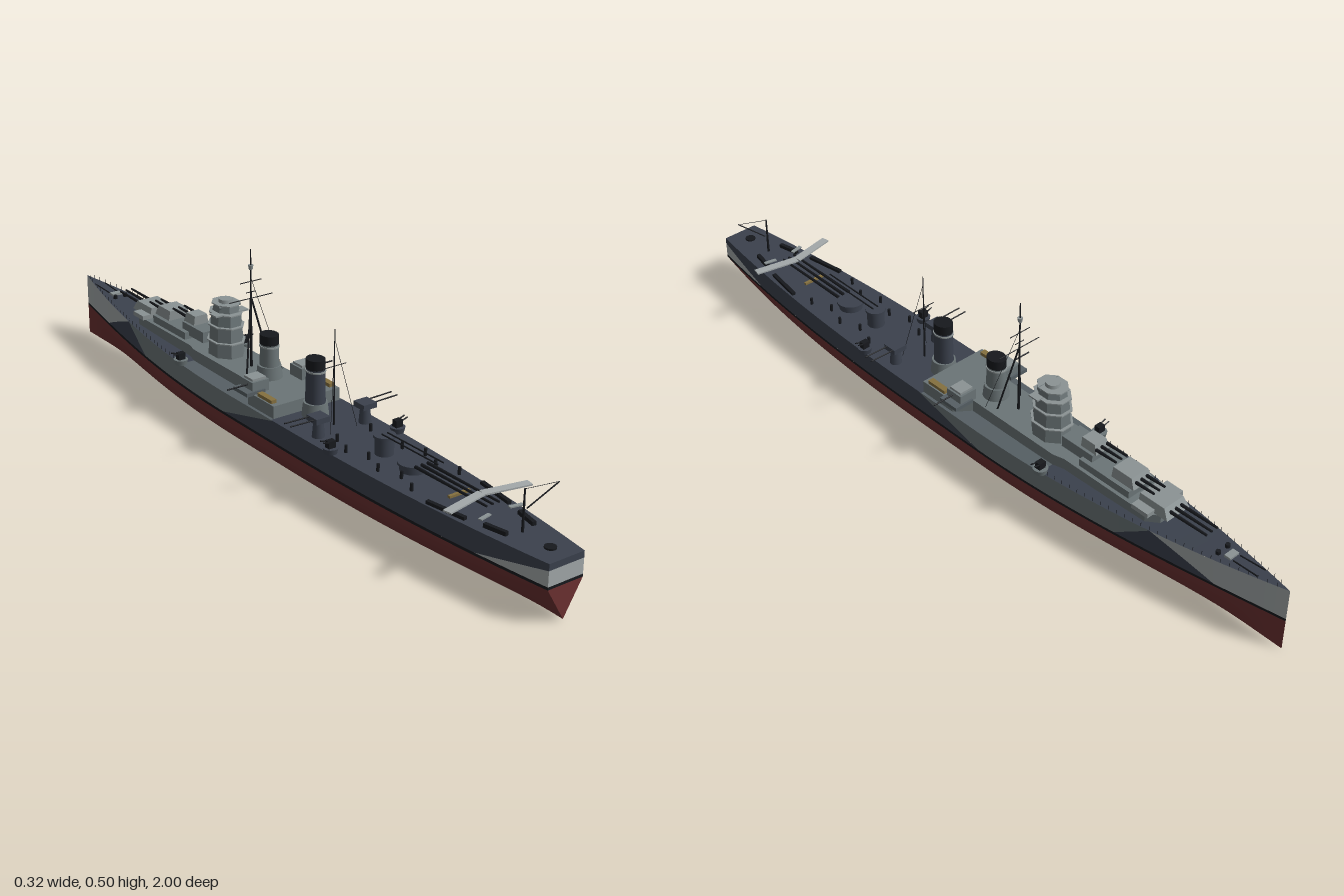
import * as THREE from 'three';

const mat = (name, color, side = THREE.FrontSide) => {
  const m = new THREE.MeshStandardMaterial({ color, side });
  m.name = name;
  return m;
};

export function createModel() {
  const ship = new THREE.Group();
  ship.name = 'warship';
  const navy = mat('navy', 0x3b414d), light = mat('light grey', 0xa3a9aa), mid = mat('mid grey', 0x6b7577);
  const pale = mat('pale grey', 0x8b9394), deckGrey = mat('deck grey', 0x565f64), red = mat('red', 0x6c3131);
  const black = mat('black', 0x17191d), ochre = mat('ochre', 0x85703f);

  const add = (name, geo, m, x = 0, y = 0, z = 0, parent = ship) => {
    const o = new THREE.Mesh(geo, m);
    o.name = name;
    o.position.set(x, y, z);
    parent.add(o);
    return o;
  };
  const box = (name, m, w, h, d, x, y, z, parent) => add(name, new THREE.BoxGeometry(w, h, d), m, x, y + h / 2, z, parent);
  const cyl = (name, m, rt, rb, h, x, y, z, seg = 20) => add(name, new THREE.CylinderGeometry(rt, rb, h, seg), m, x, y + h / 2, z);
  const rod = (name, m, a, b, r, r2 = r) => {
    const p = new THREE.Vector3(...a), q = new THREE.Vector3(...b), d = q.clone().sub(p);
    const o = add(name, new THREE.CylinderGeometry(r2, r, d.length(), 6), m);
    o.position.copy(p).add(q).multiplyScalar(0.5);
    o.quaternion.setFromUnitVectors(new THREE.Vector3(0, 1, 0), d.normalize());
    return o;
  };

  // Hull form: bow at -z, transom at +z
  const bowU = z => Math.max(0, (-z - 0.1) / 0.9), sternU = z => Math.max(0, (z - 0.1) / 0.9);
  const half = z => 0.108 * (1 - bowU(z) ** 2) - 0.058 * sternU(z) ** 2.3;
  const waterHalf = z => half(z) * (1 - 0.2 * bowU(z) ** 2);
  const deckY = z => 0.147 + 0.03 * bowU(z) ** 2;
  const WL = 0.085, BOOT = 0.092;
  const side = (z, t) => {
    const y = THREE.MathUtils.lerp(BOOT, deckY(z), t);
    return [THREE.MathUtils.lerp(waterHalf(z), half(z), t), y, z];
  };
  const bottom = (z, t) => {
    const n = 1 + 1.5 * (1 - Math.max(bowU(z), sternU(z)) ** 2), a = t * Math.PI / 2;
    return [waterHalf(z) * Math.sin(a) ** (2 / n), WL * (1 - Math.max(0, Math.cos(a)) ** (2 / n)), z];
  };
  const patch = (name, m, fn, nu, nv, s) => {
    const pos = [], idx = [];
    for (let i = 0; i <= nu; i++) for (let j = 0; j <= nv; j++) {
      const [x, y, z] = fn(i / nu, j / nv);
      pos.push(x * s, y, z);
      if (i < nu && j < nv) {
        const a = i * (nv + 1) + j, b = a + nv + 1;
        if (s > 0) idx.push(a, a + 1, b, b, a + 1, b + 1);
        else idx.push(a, b, a + 1, b, b + 1, a + 1);
      }
    }
    const g = new THREE.BufferGeometry();
    g.setAttribute('position', new THREE.Float32BufferAttribute(pos, 3));
    g.setIndex(idx);
    g.computeVertexNormals();
    add(name, g, m);
  };
  const L = THREE.MathUtils.lerp;
  // Camouflage panel between two slanted edges, each given as [z low, z high]
  const panel = (m, t0, t1, a, b, s) => patch('hullSide', m, (u, v) =>
    side(L(L(a[0], a[1], v), L(b[0], b[1], v), u), L(t0, t1, v)), 24, 5, s);
  for (const s of [1, -1]) {
    patch('hullBottom', red, (u, v) => bottom(L(-1, 1, u), v), 64, 16, s);
    patch('bootStripe', black, (u, v) => {
      const z = L(-1, 1, u);
      return [waterHalf(z), L(WL, BOOT, v), z];
    }, 64, 1, s);
    panel(light, 0, 1, [-1, -1], [-0.82, -0.65], s);
    panel(navy, 0, 1, [-0.82, -0.65], [-0.55, -0.65], s);
    panel(mid, 0, 1, [-0.55, -0.65], [-0.12, 0.1], s);
    panel(navy, 0, 0.7, [-0.12, 0.034], [0.8, 1], s);
    panel(light, 0, 0.7, [0.8, 1], [1, 1], s);
    panel(navy, 0.7, 1, [0.034, 0.1], [1, 1], s);
    for (const [a, b, m] of [[-1, -0.33, navy], [-0.33, 0.09, deckGrey], [0.09, 1, navy]])
      patch('deck', m, (u, v) => [half(L(a, b, u)) * (1 - v), deckY(L(a, b, u)), L(a, b, u)], 30, 1, s);
    // Transom strips
    const ty = L(BOOT, deckY(1), 0.7);
    for (const [y0, y1, m] of [[WL, BOOT, black], [BOOT, ty, light], [ty, deckY(1), navy]])
      patch('transom', m, (u, v) => [0.05 * (1 - u), L(y0, y1, v), 1], 1, 1, s);
    patch('transomKeel', red, (u, v) => [bottom(1, v)[0] * (1 - u), bottom(1, v)[1], 1], 1, 10, s);
  }

  // Raised superstructure deck
  const outline = [[0.1, 0.09], [0.1, -0.02], [0.06, -0.05], [0.06, -0.33], [0.052, -0.36], [0.052, -0.62], [0.03, -0.65]];
  const shape = new THREE.Shape([...outline, ...outline.map(([x, z]) => [-x, z]).reverse()].map(([x, z]) => new THREE.Vector2(x, -z)));
  const house = new THREE.ExtrudeGeometry(shape, { depth: 0.034, bevelEnabled: false }).rotateX(-Math.PI / 2);
  add('deckhouse', house, mid, 0, 0.146, 0);

  // Gunhouses: sloped face, triple barrels pointing along dir
  const turret = (y, z, w, d, len, m, dir = -1) => {
    const g = new THREE.BoxGeometry(w, 0.026, d), p = g.attributes.position;
    for (let i = 0; i < p.count; i++) if (p.getY(i) > 0) {
      p.setX(i, p.getX(i) * 0.85);
      if (p.getZ(i) * dir > 0) p.setZ(i, p.getZ(i) * 0.65);
    }
    g.computeVertexNormals();
    cyl('barbette', mid, w * 0.42, w * 0.42, 0.012, 0, y - 0.01, z);
    add('gunhouse', g, m, 0, y + 0.014, z);
    for (const x of [-0.018, 0, 0.018])
      rod('gunBarrel', black, [x, y + 0.014, z + dir * d * 0.4], [x, y + 0.016, z + dir * (d / 2 + len)], 0.0045, 0.003);
  };
  turret(0.182, -0.63, 0.075, 0.09, 0.1, pale);
  box('forwardHouse', mid, 0.085, 0.02, 0.16, 0, 0.18, -0.48);
  box('forwardWing', pale, 0.12, 0.012, 0.05, 0, 0.18, -0.61);
  turret(0.2, -0.53, 0.065, 0.07, 0.05, pale);
  box('upperHouse', mid, 0.06, 0.03, 0.1, 0, 0.19, -0.38);
  turret(0.218, -0.41, 0.045, 0.05, 0.06, pale);

  // Bridge tower: stacked octagonal levels with wider galleries
  const levels = [[0.18, 0.046, 0.043, 0.04], [0.222, 0.043, 0.04, 0.04], [0.264, 0.04, 0.037, 0.032], [0.3, 0.034, 0.03, 0.02]];
  const tower = (name, m, rt, rb, h, y) => {
    const o = add(name, new THREE.CylinderGeometry(rt, rb, h, 8).rotateY(Math.PI / 8).toNonIndexed(), m, 0, y + h / 2, -0.265);
    o.geometry.computeVertexNormals();
    o.scale.z = 1.2;
  };
  for (const [y, rb, rt, h] of levels) {
    tower('bridgeLevel', mid, rt, rb, h, y);
    tower('bridgeGallery', pale, rt + 0.006, rt + 0.006, 0.003, y + h - 0.002);
  }
  cyl('director', pale, 0.018, 0.02, 0.012, 0, 0.318, -0.265, 12);
  const range = add('rangefinder', new THREE.CylinderGeometry(0.005, 0.005, 0.066, 8).rotateZ(Math.PI / 2), mid, 0, 0.315, -0.25);
  range.scale.y = 1.3;
  box('bridgeWing', pale, 0.1, 0.004, 0.03, 0, 0.295, -0.25);

  // Funnels
  for (const z of [-0.07, 0.125]) {
    const y0 = z < 0 ? 0.178 : 0.147;
    cyl('funnelBase', mid, 0.03, 0.034, 0.035, 0, y0, z);
    cyl('funnel', z < 0 ? mid : navy, 0.022, 0.025, 0.27 - y0, 0, y0, z).scale.z = 1.15;
    cyl('funnelCap', black, 0.023, 0.023, 0.025, 0, 0.27, z).scale.z = 1.15;
    cyl('funnelBand', pale, 0.0245, 0.0245, 0.004, 0, 0.262, z).scale.z = 1.15;
  }

  // Masts with yards and stays
  rod('mainMast', black, [0, 0.17, -0.15], [0, 0.495, -0.15], 0.0035, 0.0015);
  for (const s of [1, -1]) {
    rod('mastLeg', black, [s * 0.038, 0.178, -0.115], [0, 0.37, -0.15], 0.0025);
    rod('stay', black, [s * 0.055, 0.178, -0.09], [0, 0.42, -0.15], 0.0006);
    rod('aftStay', black, [s * 0.04, 0.147, 0.24], [0, 0.37, 0.2], 0.0006);
  }
  for (const [y, w] of [[0.365, 0.065], [0.41, 0.032], [0.382, 0.014]])
    rod('yard', black, [-w, y, -0.15], [w, y, -0.15], 0.0012);
  cyl('mastLookout', pale, 0.007, 0.005, 0.012, 0, 0.442, -0.15, 8);
  rod('aftMast', black, [0, 0.147, 0.2], [0, 0.395, 0.2], 0.0025, 0.001);
  rod('aftYard', black, [-0.035, 0.3, 0.2], [0.035, 0.3, 0.2], 0.001);

  // Side batteries
  for (const s of [1, -1]) {
    box('sideHouse', mid, 0.05, 0.03, 0.05, s * 0.075, 0.18, -0.025);
    box('sideHouseRoof', pale, 0.04, 0.008, 0.038, s * 0.075, 0.208, -0.025);
    box('sponson', deckGrey, 0.055, 0.01, 0.06, s * 0.092, 0.178, -0.025);
    rod('sideGun', black, [s * 0.095, 0.2, -0.02], [s * 0.16, 0.2, -0.02], 0.002);
    box('boat', ochre, 0.016, 0.009, 0.06, s * 0.088, 0.18, 0.045);
    for (const z of [0.22, 0.243]) rod('midGun', black, [s * 0.06, 0.198, z], [s * 0.16, 0.2, z], 0.0018);
    cyl('midGunStand', navy, 0.012, 0.016, 0.045, s * 0.07, 0.146, 0.232, 12);
    box('midGunShield', navy, 0.04, 0.014, 0.04, s * 0.07, 0.188, 0.232);
    for (const z of [-0.33, 0.32]) {
      cyl('gunTub', z > 0 ? navy : mid, 0.019, 0.016, 0.014, s * 0.1, deckY(z), z);
      box('gunMount', black, 0.02, 0.022, 0.016, s * 0.1, deckY(z) + 0.01, z);
      for (const d of [-0.006, 0.006])
        rod('lightGun', black, [s * 0.1, deckY(z) + 0.026, z + d], [s * 0.125, deckY(z) + 0.034, z + d], 0.0018);
    }
    // Deck fittings and launching rails aft
    const rail = box('launchRail', black, 0.01, 0.008, 0.11, s * 0.072, 0.147, 0.7);
    rail.rotation.y = -s * 0.15;
    const rack = box('sternRack', black, 0.01, 0.01, 0.06, s * 0.045, 0.147, 0.83);
    rack.rotation.y = -s * 0.2;
    for (let i = 0; i < 6; i++) cyl('vent', black, 0.004, 0.004, 0.02, s * (0.05 + (i % 2) * 0.02), 0.146, 0.28 + i * 0.06, 8);
    // Rails
    for (let i = 0; i < 28; i++) {
      const z = L(-0.97, -0.35, i / 27);
      rod('railPost', black, [s * half(z) * 0.97, deckY(z), z], [s * half(z) * 0.97, deckY(z) + 0.01, z], 0.0006);
    }
    // Aircraft wings
    const wing = box('aircraftWing', light, 0.122, 0.004, 0.022, s * 0.06, 0.182, 0.745);
    wing.rotation.y = -s * 0.2;
    box('tailplane', pale, 0.035, 0.003, 0.01, s * 0.045, 0.165, 0.795).rotation.y = -s * 0.2;
  }

  // Aft gun platforms with barrels trained astern
  for (const [z, r, y, len] of [[0.5, 0.037, 0.163, 0.27], [0.395, 0.027, 0.19, 0.2]]) {
    cyl('aftBarbette', navy, r * 0.85, r * 0.85, y - 0.146, 0, 0.146, z, 28);
    cyl('aftGunPlatform', navy, r, r, 0.006, 0, y, z, 28);
    if (r > 0.03) for (const x of [-0.018, 0, 0.018])
      rod('aftBarrel', black, [x, y + 0.008, z + 0.03], [x, y + 0.01, z + len], 0.0045, 0.003);
    else for (const x of [-0.008, 0.008])
      rod('aftUpperBarrel', black, [x, y + 0.008, z], [x, y + 0.01, z + len], 0.002);
  }
  box('barrelRest', ochre, 0.06, 0.006, 0.008, 0, 0.15, 0.66);

  // Stern crane
  rod('cranePost', black, [0, 0.146, 0.865], [0, 0.25, 0.865], 0.0035, 0.002);
  rod('craneBoom', black, [0.008, 0.2, 0.865], [0.075, 0.255, 0.89], 0.0018);
  rod('craneCable', black, [0, 0.249, 0.865], [0.075, 0.255, 0.89], 0.0007);
  cyl('sternHatch', black, 0.014, 0.014, 0.006, 0, 0.145, 0.95, 14);

  // Forecastle gear
  box('windlass', pale, 0.03, 0.008, 0.018, 0, 0.165, -0.835);
  for (const s of [1, -1]) {
    cyl('capstan', black, 0.006, 0.006, 0.01, s * 0.016, 0.165, -0.81, 10);
    rod('anchorChain', black, [s * 0.012, 0.17, -0.85], [s * 0.014, 0.174, -0.92], 0.0018);
  }
  return ship;
}
